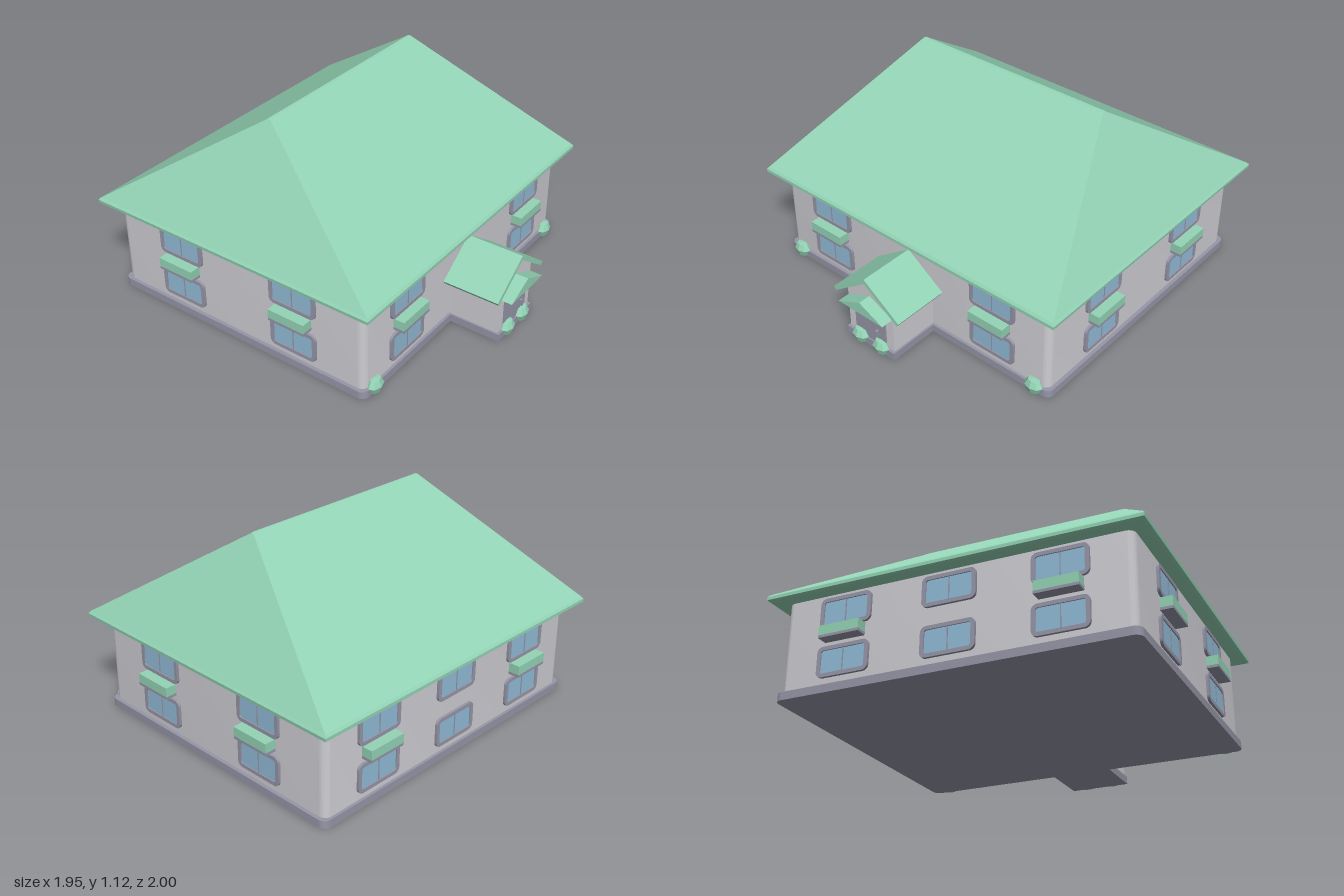
import * as THREE from 'three';
import { toCreasedNormals } from 'three/addons/utils/BufferGeometryUtils.js';

const material = (name, color) => {
  const m = new THREE.MeshStandardMaterial({ color });
  m.name = name;
  return m;
};

// Rounded rectangle centred on the origin, as a Shape or a hole Path
function roundedRect(w, h, r, Type = THREE.Shape) {
  const p = new Type(), x = w / 2, y = h / 2;
  p.moveTo(-x + r, -y);
  p.lineTo(x - r, -y);
  p.absarc(x - r, -y + r, r, -Math.PI / 2, 0);
  p.lineTo(x, y - r);
  p.absarc(x - r, y - r, r, 0, Math.PI / 2);
  p.lineTo(-x + r, y);
  p.absarc(-x + r, y - r, r, Math.PI / 2, Math.PI);
  p.lineTo(-x, -y + r);
  p.absarc(-x + r, -y + r, r, Math.PI, Math.PI * 1.5);
  return p;
}

const extrude = (shape, depth) => toCreasedNormals(
  new THREE.ExtrudeGeometry(shape, { depth, bevelEnabled: false, curveSegments: 5 }), 0.6);

const polygon = (points) => new THREE.Shape(points.map(([x, y]) => new THREE.Vector2(x, y)));

// Closed solid through rectangular rings [y, halfX, halfZ], bottom to top
function loftRings(rings) {
  const pos = [];
  const corners = ([y, x, z]) => [[-x, y, z], [x, y, z], [x, y, -z], [-x, y, -z]];
  const quad = (a, b, c, d) => pos.push(...a, ...b, ...c, ...a, ...c, ...d);
  const loops = rings.map(corners);
  for (let i = 0; i < loops.length - 1; i++) {
    for (let k = 0; k < 4; k++) {
      const n = (k + 1) % 4;
      quad(loops[i][k], loops[i][n], loops[i + 1][n], loops[i + 1][k]);
    }
  }
  const [b, t] = [loops[0], loops[loops.length - 1]];
  quad(b[3], b[2], b[1], b[0]);
  quad(t[0], t[1], t[2], t[3]);
  const g = new THREE.BufferGeometry();
  g.setAttribute('position', new THREE.Float32BufferAttribute(pos, 3));
  g.computeVertexNormals();
  return g;
}

export function createModel() {
  const house = new THREE.Group();
  house.name = 'house';
  const green = material('roofGreen', 0x94d4b6);
  const wall = material('wallGrey', 0xcfced4);
  const trim = material('trimGrey', 0x9696a8);
  const glass = material('windowBlue', 0x92bcd8);

  const add = (parent, name, geometry, mat, x = 0, y = 0, z = 0) => {
    const m = new THREE.Mesh(geometry, mat);
    m.name = name;
    m.position.set(x, y, z);
    parent.add(m);
    return m;
  };
  const box = (w, h, d) => new THREE.BoxGeometry(w, h, d);
  const midZ = -0.14, halfX = 0.9, halfZ = 0.785;

  // Plinth and walls with rounded corners
  const slab = (w, d, r, h) => extrude(roundedRect(w, d, r), h).rotateX(-Math.PI / 2);
  add(house, 'plinth', slab(1.84, 1.6, 0.04, 0.042), trim, 0, 0, midZ);
  add(house, 'walls', slab(halfX * 2, halfZ * 2, 0.04, 0.48), wall, 0, 0.04, midZ);

  // Hipped roof with a softened eave
  add(house, 'roof', loftRings([
    [0.512, 0.962, 0.847], [0.52, 0.975, 0.86], [0.537, 0.977, 0.86],
    [0.55, 0.967, 0.85], [1.118, 0.595, 0.008], [1.125, 0.585, 0.001],
  ]), green, 0, 0, midZ);

  // Windows and planters
  const frameShape = roundedRect(0.28, 0.158, 0.03);
  frameShape.holes.push(roundedRect(0.238, 0.118, 0.012, THREE.Path));
  const frameGeo = extrude(frameShape, 0.014);
  const paneGeo = box(0.24, 0.12, 0.008);
  const mullionGeo = box(0.005, 0.12, 0.004);

  function addWindow(parent, x, y) {
    const w = new THREE.Group();
    w.name = 'window';
    w.position.set(x, y, 0);
    add(w, 'windowFrame', frameGeo, trim);
    add(w, 'windowGlass', paneGeo, glass, 0, 0, 0.004);
    add(w, 'mullion', mullionGeo, trim, 0, 0, 0.009);
    parent.add(w);
  }

  function addFacade(name, x, z, turn, columns) {
    const f = new THREE.Group();
    f.name = name;
    f.position.set(x, 0, z);
    f.rotation.y = turn;
    for (const [cx, hasPlanter] of columns) {
      for (const y of [0.158, 0.413]) addWindow(f, cx, y);
      if (!hasPlanter) continue;
      add(f, 'planter', box(0.218, 0.05, 0.062), green, cx, 0.301, 0.031);
      add(f, 'planterTray', box(0.218, 0.014, 0.062), trim, cx, 0.269, 0.031);
    }
    house.add(f);
  }
  addFacade('frontWindows', 0, midZ + halfZ, 0, [[-0.555, true], [0.555, true]]);
  addFacade('backWindows', 0, midZ - halfZ, Math.PI, [[-0.555, true], [0, false], [0.555, true]]);
  addFacade('leftWindows', halfX, midZ, Math.PI / 2, [[-0.365, true], [0.355, true]]);
  addFacade('rightWindows', -halfX, midZ, -Math.PI / 2, [[-0.355, true], [0.365, true]]);

  // Entrance porch
  const porch = new THREE.Group();
  porch.name = 'porch';
  house.add(porch);
  add(porch, 'porchPlinth', box(0.33, 0.042, 0.32), trim, 0, 0.021, 0.785);
  add(porch, 'porchWalls', extrude(polygon(
    [[-0.155, 0.03], [0.155, 0.03], [0.155, 0.305], [0, 0.42], [-0.155, 0.305]]), 0.3), wall, 0, 0, 0.63);
  add(porch, 'porchRoof', extrude(polygon(
    [[-0.225, 0.281], [-0.212, 0.262], [0, 0.414], [0.212, 0.262], [0.225, 0.281], [0, 0.441]]), 0.325),
  green, 0, 0, 0.635);
  add(porch, 'pediment', extrude(polygon([[-0.153, 0.25], [0.153, 0.25], [0, 0.32]]), 0.075),
    green, 0, 0, 0.925);
  add(porch, 'door', box(0.21, 0.2, 0.009), trim, 0, 0.138, 0.933);
  add(porch, 'doorHandle', box(0.012, 0.035, 0.016), trim, 0.053, 0.115, 0.945);

  // Low-poly shrubs
  const shrubMat = green;
  const shrubGeo = toCreasedNormals(new THREE.LatheGeometry(
    [[0, 0.002], [0.035, 0.002], [0.054, 0.04], [0.034, 0.076], [0, 0.08]]
      .map(([x, y]) => new THREE.Vector2(x, y)), 8), 0.1);
  for (const s of [-1, 1]) {
    for (const [x, z] of [[0.825, 0.655], [0.072, 0.938]]) {
      add(house, 'shrub', shrubGeo, shrubMat, s * x, 0, z).scale.z = 0.72;
    }
  }
  return house;
}
